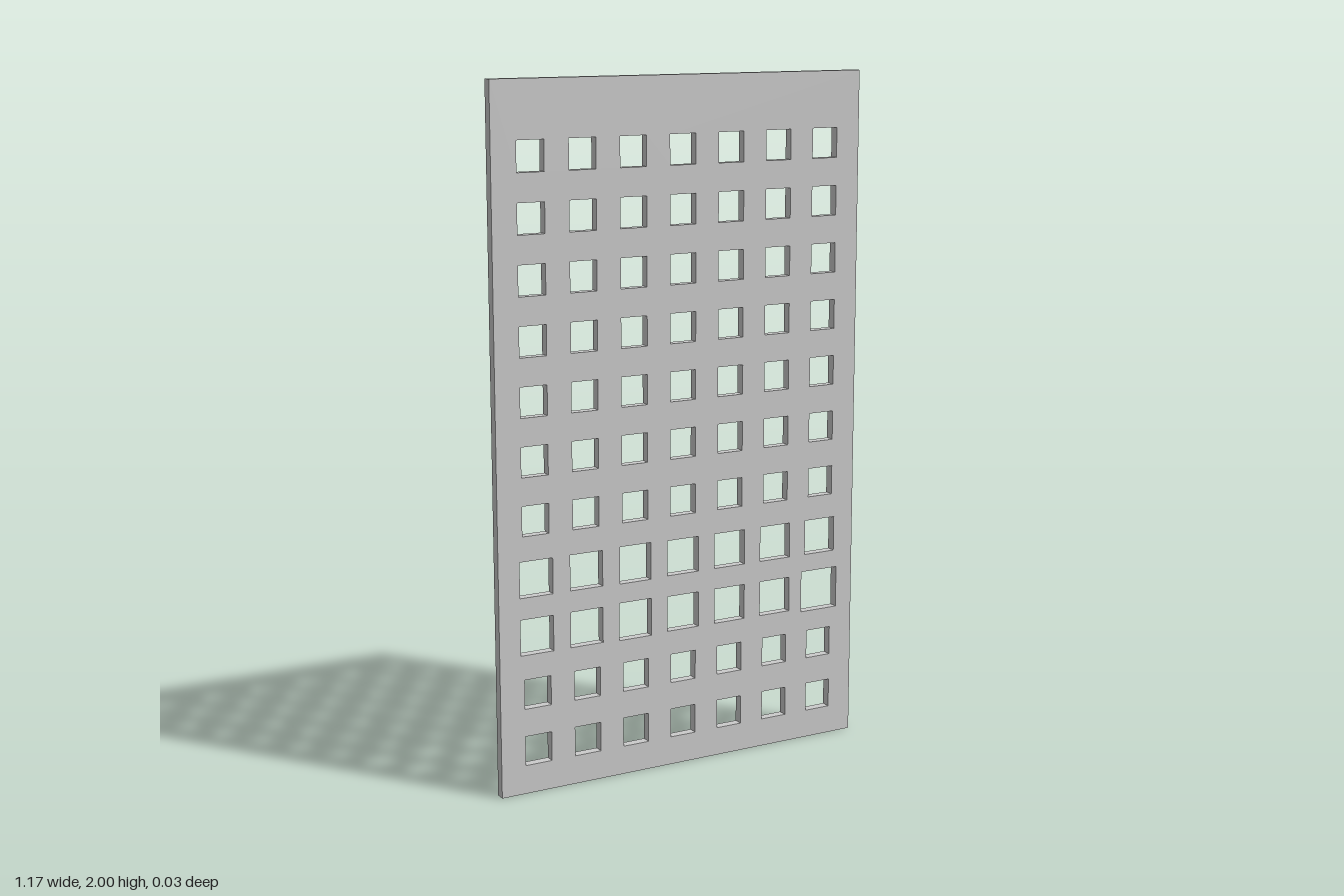
import * as THREE from 'three';

const WIDTH = 1.168, HEIGHT = 2, DEPTH = 0.028;
const COLS = 7, ROWS = 11;
const PITCH_X = 0.156, PITCH_Y = 0.1668, FIRST_ROW = 0.127;

// Rectangle centred on (x, y)
function rect(path, x, y, w, h) {
  path.moveTo(x - w / 2, y - h / 2);
  path.lineTo(x + w / 2, y - h / 2);
  path.lineTo(x + w / 2, y + h / 2);
  path.lineTo(x - w / 2, y + h / 2);
  path.closePath();
  return path;
}

// Opening size: two enlarged rows, with a few odd ones among them
function openingSize(row, col) {
  if (row === 2 && col === 6) return [0.124, 0.124];
  if (row === 2 && col === 2) return [0.104, 0.111];
  if (row === 3 && col === 2) return [0.1, 0.109];
  if (row === 2 || row === 3) return [0.102, 0.104];
  return [0.082, 0.086];
}

export function createModel() {
  const group = new THREE.Group();
  group.name = 'perforatedPanel';

  // Flat panel pierced by a grid of square openings
  const outline = rect(new THREE.Shape(), 0, HEIGHT / 2, WIDTH, HEIGHT);
  for (let row = 0; row < ROWS; row++) {
    for (let col = 0; col < COLS; col++) {
      const [w, h] = openingSize(row, col);
      const x = (col - (COLS - 1) / 2) * PITCH_X;
      const y = FIRST_ROW + row * PITCH_Y;
      outline.holes.push(rect(new THREE.Path(), x, y, w, h));
    }
  }
  const geometry = new THREE.ExtrudeGeometry(outline, { depth: DEPTH, bevelEnabled: false });
  geometry.translate(0, 0, -DEPTH / 2);

  const panel = new THREE.Mesh(geometry, new THREE.MeshStandardMaterial({ color: 0xcccccc }));
  panel.name = 'panel';
  group.add(panel);
  return group;
}
